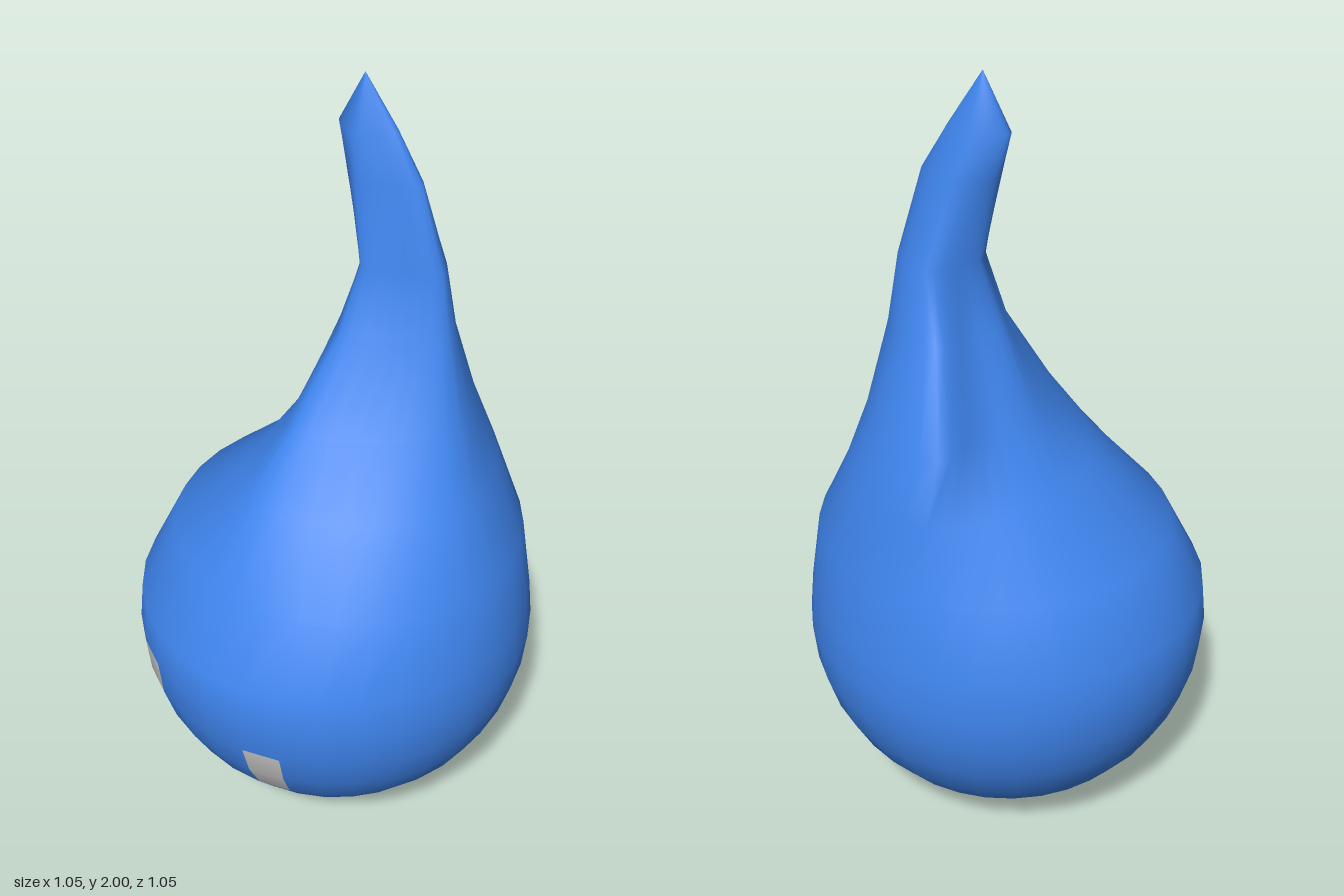
import * as THREE from 'three';

const SEG = 32; // points around each ring, from +x towards +z

// Smooth closed ring through 8 [x, z] control points
function foldedRing(y, points) {
  const curve = new THREE.CatmullRomCurve3(
    points.map(([x, z]) => new THREE.Vector3(x, y, z)), true, 'centripetal');
  return Array.from({ length: SEG }, (_, j) => curve.getPoint(j / SEG));
}

function roundRing(y, r, cx = 0, cz = 0) {
  return Array.from({ length: SEG }, (_, j) => {
    const a = (j / SEG) * Math.PI * 2;
    return new THREE.Vector3(cx + r * Math.cos(a), y, cz + r * Math.sin(a));
  });
}

export function createModel() {
  const group = new THREE.Group();
  const rings = [];

  // Round belly: sphere rings from the bottom to just above the equator
  const R = 0.527;
  for (let k = 0; k <= 9; k++) {
    const a = (k / 16) * Math.PI;
    rings.push(roundRing(0.53 - R * Math.cos(a), R * Math.sin(a)));
  }

  // Shoulder leaning back, then the pinched and folded neck, then the bent tip
  rings.push(roundRing(0.82, 0.455, 0.02, -0.03));
  const neck = [
    [1.0, [[.38, -.06], [.25, .17], [-.02, .29], [-.17, .15], [-.22, -.04], [-.19, -.27], [-.04, -.43], [.24, -.36]]],
    [1.16, [[.31, -.1], [.18, .06], [-.01, .16], [-.085, .06], [-.11, -.06], [-.07, -.2], [-.05, -.39], [.19, -.32]]],
    [1.38, [[.25, -.12], [.15, -.05], [.02, .01], [-.02, -.04], [-.05, -.1], [0, -.17], [.03, -.27], [.16, -.25]]],
    [1.55, [[.215, -.13], [.13, -.07], [.04, -.045], [.015, -.08], [.01, -.11], [.03, -.17], [.08, -.23], [.17, -.2]]],
    [1.76, [[.155, -.12], [.08, -.08], [.01, -.055], [-.03, -.08], [-.045, -.11], [-.02, -.15], [.04, -.18], [.11, -.165]]],
    [1.87, [[.085, -.12], [.05, -.085], [0, -.06], [-.055, -.085], [-.075, -.11], [-.05, -.14], [0, -.16], [.05, -.15]]],
  ];
  for (const [y, points] of neck) rings.push(foldedRing(y, points));
  rings.push(roundRing(2, 0, 0, -0.105));

  // Patches are faces of the belly: columns and rows of the ring grid
  const patches = {
    body: { color: 0x3f85ee, index: [] },
    rightEye: { color: 0xcccccc, index: [], cols: [10, 11], rows: [5, 7] },
    leftEye: { color: 0xcccccc, index: [], cols: [6, 6], rows: [5, 6] },
  };
  const within = (v, range) => range && v >= range[0] && v <= range[1];

  const all = [];
  const last = rings.length - 2;
  for (let i = 0; i <= last; i++) {
    for (let j = 0; j < SEG; j++) {
      const n = (j + 1) % SEG;
      const a = i * SEG + j, b = i * SEG + n, c = a + SEG, d = b + SEG;
      const quad = [];
      if (i > 0) quad.push(a, c, b);
      if (i < last) quad.push(b, c, d);
      const owner = Object.values(patches).find(
        (p) => within(j, p.cols) && within(i, p.rows)) || patches.body;
      owner.index.push(...quad);
      all.push(...quad);
    }
  }

  // Shared smooth normals keep the eyes flush with the body
  const skin = new THREE.BufferGeometry().setFromPoints(rings.flat());
  skin.setIndex(all);
  skin.computeVertexNormals();

  for (const [name, { color, index }] of Object.entries(patches)) {
    const geometry = new THREE.BufferGeometry();
    geometry.setAttribute('position', skin.attributes.position);
    geometry.setAttribute('normal', skin.attributes.normal);
    geometry.setIndex(index);
    const mesh = new THREE.Mesh(geometry, new THREE.MeshStandardMaterial({ color }));
    mesh.name = name;
    group.add(mesh);
  }
  return group;
}
